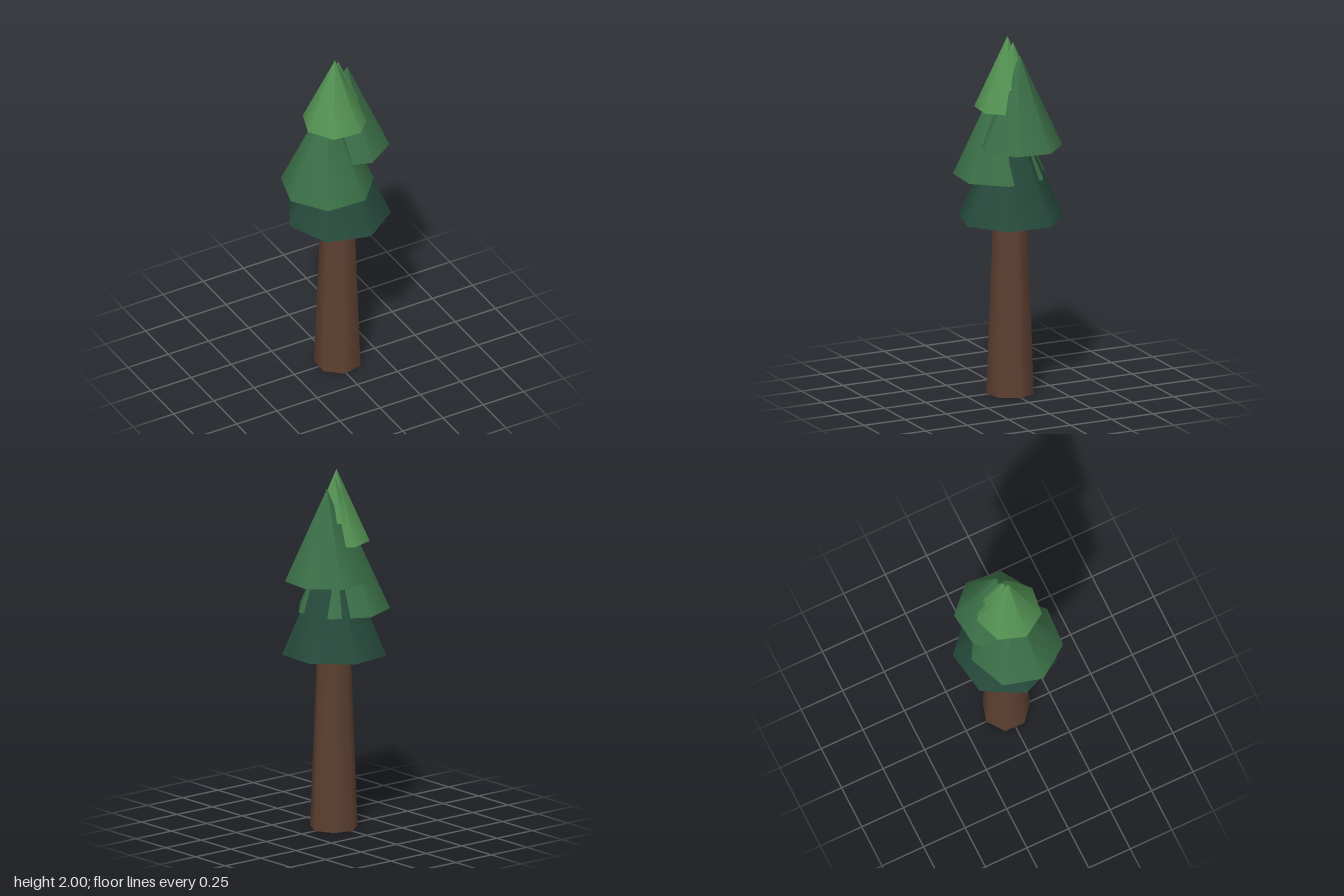
import * as THREE from 'three';

const SIDES = 7;
const rad = THREE.MathUtils.degToRad;

function material(name, color) {
  const m = new THREE.MeshStandardMaterial({ color });
  m.name = name;
  return m;
}

export function createModel() {
  const tree = new THREE.Group();
  tree.name = 'pineTree';

  const bark = material('bark brown', 0x5d4031);
  const dark = material('dark green', 0x264a3c);
  const medium = material('medium green', 0x3b6f47);
  const light = material('light green', 0x539253);

  // Tapered seven-sided piece standing on its base and turned by an angle in degrees
  function addPiece(name, mat, { x, z, base, top, radius, tip = 0, turn }) {
    const height = top - base;
    const geometry = new THREE.CylinderGeometry(tip, radius, height, SIDES, 1, false, rad(turn));
    const mesh = new THREE.Mesh(geometry, mat);
    mesh.name = name;
    mesh.position.set(x, base + height / 2, z);
    tree.add(mesh);
  }

  // Trunk, ending just inside the lowest foliage
  addPiece('trunk', bark, { x: 0.023, z: 0, base: 0, top: 1.02, radius: 0.132, tip: 0.094, turn: -15 });

  // Overlapping foliage cones, from the bottom up
  addPiece('lowerFoliage', dark, { x: 0.02, z: -0.003, base: 0.98, top: 1.64, radius: 0.29, turn: 9.5 });
  addPiece('middleFoliageRight', medium, { x: -0.055, z: 0.02, base: 1.21, top: 1.78, radius: 0.258, turn: 22.7 });
  addPiece('middleFoliageLeft', medium, { x: 0.092, z: -0.025, base: 1.4, top: 1.91, radius: 0.23, turn: 6.5 });
  addPiece('smallTopFoliage', light, { x: 0.03, z: -0.013, base: 1.725, top: 1.97, radius: 0.11, turn: 7.4 });
  addPiece('topFoliage', light, { x: 0, z: 0.005, base: 1.6, top: 2, radius: 0.181, turn: 19.4 });

  return tree;
}
